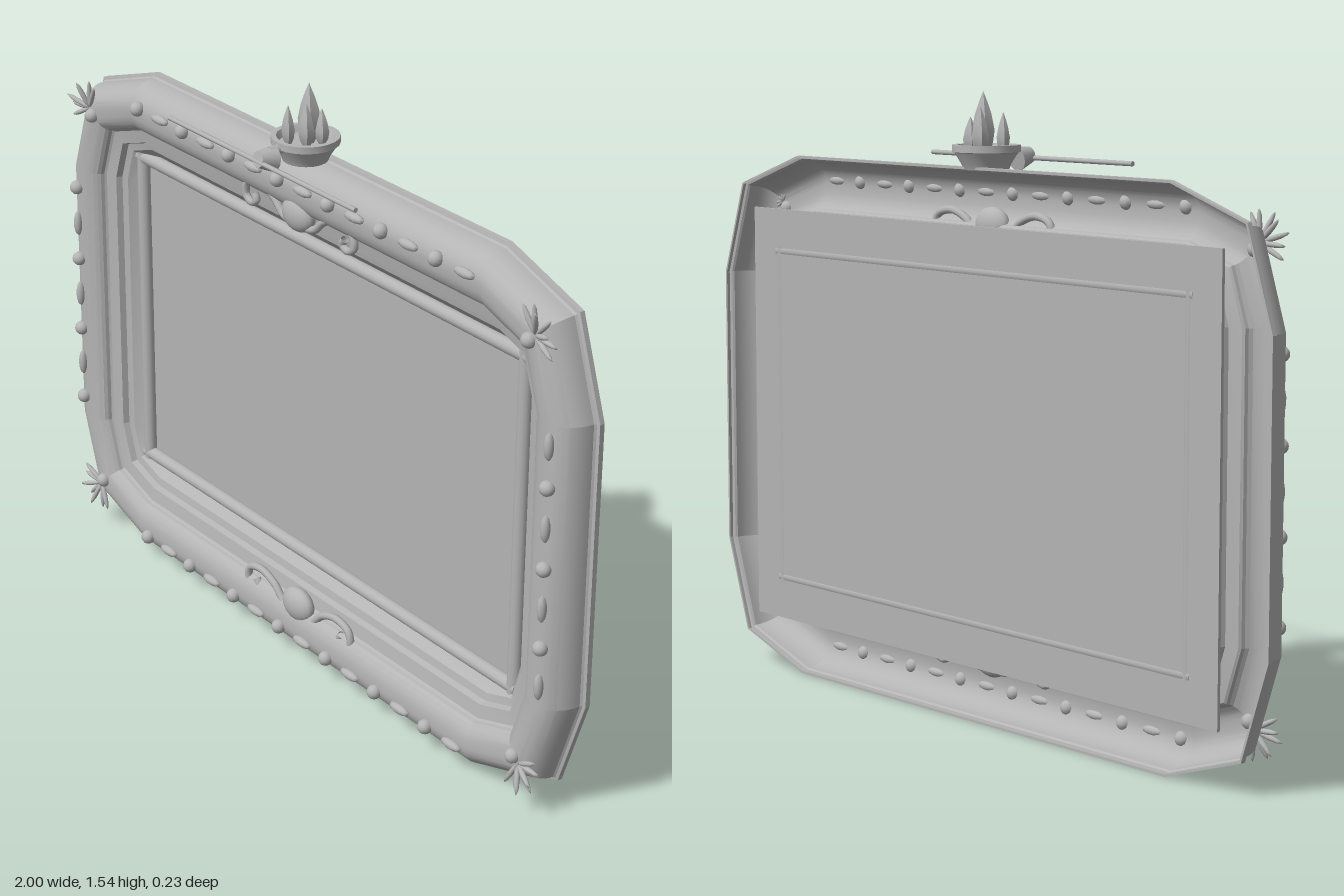
import * as THREE from 'three';
import { toCreasedNormals } from 'three/addons/utils/BufferGeometryUtils.js';

const MID = 0.68; // height of the frame centre

export function createModel() {
  const model = new THREE.Group();
  model.name = 'ornateFrame';
  const grey = new THREE.MeshStandardMaterial({ color: 0xb4b4b4, side: THREE.DoubleSide });
  grey.name = 'plain grey';

  const add = (name, geometry, parent = model, x = 0, y = 0, z = 0) => {
    const mesh = new THREE.Mesh(geometry, grey);
    mesh.name = name;
    mesh.position.set(x, y, z);
    parent.add(mesh);
    return mesh;
  };

  // Rounded rectangle outline, inset by d, with three points at each corner
  const outline = (d) => {
    const w = 1 - d, h = MID - d, r = 0.32 - d;
    const corner = [[w, h - r], [w - r / 4, h - r / 4], [w - r, h]];
    const mirror = (sx, sy) => corner.map(([x, y]) => [x * sx, y * sy]);
    return [
      ...mirror(1, 1), ...mirror(-1, 1).reverse(),
      ...mirror(-1, -1), ...mirror(1, -1).reverse(),
    ];
  };

  // Moulding profile as [inset, z]: rim, convex outside, cove, stepped inside
  const profile = [[0.006, -0.085], [0, -0.085], [0, -0.072], [0.008, -0.07]];
  for (let i = 0; i <= 10; i++) {
    const a = (i / 10) * Math.PI / 2;
    profile.push([0.012 + 0.063 * (1 - Math.cos(a)), -0.065 + 0.075 * Math.sin(a)]);
  }
  for (let i = 1; i <= 6; i++) {
    const a = (i / 6) * Math.PI / 2;
    profile.push([0.085 + 0.055 * Math.sin(a), 0.01 - 0.035 * (1 - Math.cos(a))]);
  }
  profile.push([0.145, -0.03], [0.18, -0.036], [0.185, -0.052], [0.205, -0.056], [0.23, -0.08]);

  const positions = [], indices = [];
  profile.forEach(([d, z]) => outline(d).forEach(([x, y]) => positions.push(x, y + MID, z)));
  for (let i = 0; i < profile.length - 1; i++) {
    for (let j = 0; j < 12; j++) {
      const k = (j + 1) % 12;
      const a = i * 12 + j, b = i * 12 + k, c = a + 12, e = b + 12;
      indices.push(a, b, c, b, e, c);
    }
  }
  const frameGeometry = new THREE.BufferGeometry();
  frameGeometry.setAttribute('position', new THREE.Float32BufferAttribute(positions, 3));
  frameGeometry.setIndex(indices);
  add('frameMoulding', toCreasedNormals(frameGeometry, 0.25));

  // Back panel and the round bars edging the opening
  add('panel', new THREE.BoxGeometry(1.71, 1.08, 0.008), model, 0, MID, -0.09);
  for (const s of [-1, 1]) {
    const bar = add('linerBar', new THREE.CylinderGeometry(0.018, 0.018, 1.53, 12), model, 0, MID + s * 0.431, -0.078);
    bar.rotation.z = Math.PI / 2;
    add('linerPost', new THREE.CylinderGeometry(0.018, 0.018, 0.89, 12), model, s * 0.75, MID, -0.078);
  }

  // Alternating beads and spindles around the crest of the moulding
  const bead = new THREE.SphereGeometry(0.019, 12, 8);
  const spindle = new THREE.SphereGeometry(0.012, 10, 8).scale(2.9, 1, 1);
  const ornament = (isBead, x, y, angle) => {
    const mesh = add(isBead ? 'bead' : 'spindle', isBead ? bead : spindle, model, x, y, 0.014);
    mesh.rotation.z = angle;
  };
  for (let i = 0; i < 14; i++) {
    for (const s of [-1, 1]) ornament(i % 2 === 0, -0.638 + i * 0.098, MID + s * 0.615, 0);
  }
  for (let i = 0; i < 7; i++) {
    for (const s of [-1, 1]) ornament((i % 2 === 0) === (s < 0), s * 0.933, 0.375 + i * 0.102, Math.PI / 2);
  }

  // Corner sprays of thin leaves around a ball
  const leaf = new THREE.SphereGeometry(1, 8, 6).scale(0.038, 0.0065, 0.007).translate(0.038, 0, 0);
  for (const sx of [-1, 1]) {
    for (const sy of [-1, 1]) {
      const spray = new THREE.Group();
      spray.name = 'cornerSpray';
      spray.position.set(sx * 0.868, MID + sy * 0.548, 0.008);
      spray.rotation.z = Math.atan2(sy, sx);
      for (let i = -3; i <= 3; i++) {
        const pivot = add('sprayLeaf', leaf, spray);
        pivot.rotation.set(0, i % 2 ? -0.35 : -0.05, i * 0.42);
      }
      add('sprayBall', bead, spray, -0.022, 0, 0.004);
      model.add(spray);
    }
  }

  // Scrolled cartouches at top and bottom centre
  const scroll = [
    [0, -0.03], [0.06, -0.022], [0.1, 0.012], [0.155, 0.03], [0.205, 0.015],
    [0.212, -0.018], [0.188, -0.032], [0.168, -0.02], [0.178, -0.006],
  ];
  for (const y of [1.217, 0.145]) {
    const cartouche = new THREE.Group();
    cartouche.name = 'cartouche';
    cartouche.position.set(0, y, -0.012);
    add('cartoucheBoss', new THREE.SphereGeometry(1, 20, 14).scale(0.056, 0.045, 0.028), cartouche);
    for (const s of [-1, 1]) {
      const curve = new THREE.CatmullRomCurve3(scroll.map(([px, py]) => new THREE.Vector3(s * px, py, 0)));
      add('cartoucheScroll', new THREE.TubeGeometry(curve, 40, 0.01, 8), cartouche);
    }
    model.add(cartouche);
  }

  // Bowl on top of the frame
  const bowlProfile = [
    [0, 1.352], [0.055, 1.352], [0.06, 1.365], [0.077, 1.393], [0.083, 1.395],
    [0.083, 1.412], [0.07, 1.412], [0.062, 1.395], [0, 1.39],
  ].map(([r, y]) => new THREE.Vector2(r, y));
  add('bowl', toCreasedNormals(new THREE.LatheGeometry(bowlProfile, 20), 0.5), model, 0, 0, -0.032);

  // Pointed flames as [x, z, radius, tip height]
  const flames = [
    [0, -0.042, 0.029, 1.54], [0.018, -0.02, 0.021, 1.5],
    [-0.022, -0.07, 0.022, 1.505], [0.026, -0.06, 0.019, 1.48], [-0.018, 0.006, 0.017, 1.49],
  ];
  for (const [x, z, r, tip] of flames) {
    const h = tip - 1.39;
    const points = [[0.4, 0], [0.85, 0.18], [1, 0.38], [0.72, 0.64], [0.35, 0.84], [0, 1]]
      .map(([a, b]) => new THREE.Vector2(a * r, b * h));
    add('flame', toCreasedNormals(new THREE.LatheGeometry(points, 6), 0.5), model, x, 1.39, z);
  }

  // Forward spout and the thin cross rod
  const spout = add('spout', new THREE.CylinderGeometry(0.02, 0.031, 0.045, 14), model, 0, 1.379, 0.086);
  spout.rotation.x = Math.PI / 2 - 0.2;
  const neck = add('spoutNeck', new THREE.CylinderGeometry(0.012, 0.012, 0.04, 10), model, 0, 1.395, 0.055);
  neck.rotation.x = Math.PI / 2;
  const rod = add('crossRod', new THREE.CylinderGeometry(0.006, 0.006, 0.73, 8), model, 0, 1.376, 0.105);
  rod.rotation.z = Math.PI / 2;

  return model;
}
